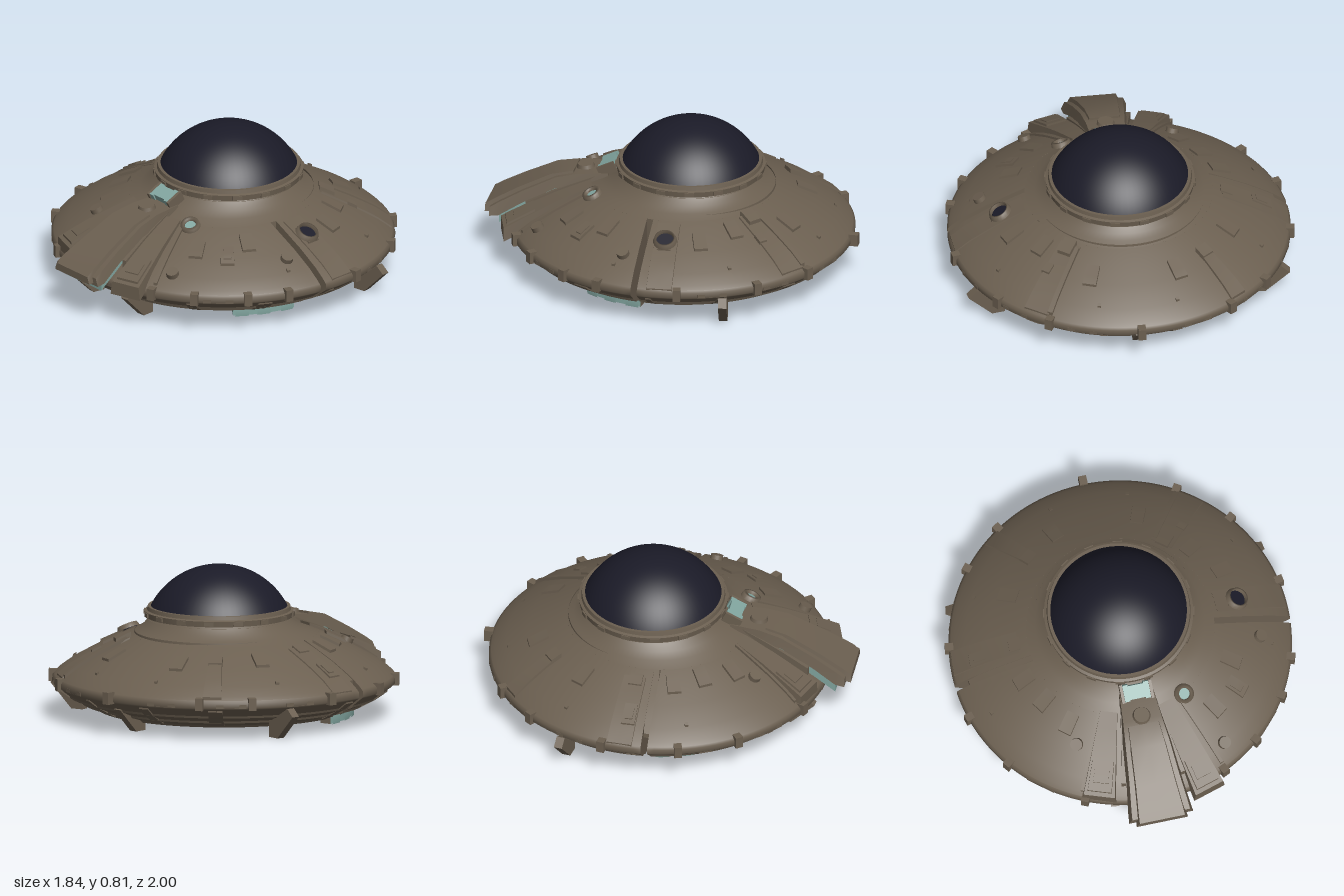
import * as THREE from 'three';

const mat = (name, color, side = THREE.FrontSide) => {
  const m = new THREE.MeshStandardMaterial({ color, side });
  m.name = name;
  return m;
};

// Profiles as [radius, height]: upper hull, rim, lower hull, and the raised panels beside the ramp
const UPPER = [[0.36, 0.54], [0.38, 0.52], [0.41, 0.49], [0.45, 0.465], [0.5, 0.442], [0.55, 0.42],
  [0.7, 0.35], [0.82, 0.283], [0.88, 0.24], [0.9, 0.222]];
const RIM = [[0.9, 0.222], [0.911, 0.21], [0.911, 0.182], [0.9, 0.172]];
const LOWER = [[0.9, 0.172], [0.84, 0.128], [0.835, 0.116], [0.77, 0.09], [0.765, 0.078], [0.69, 0.055], [0.68, 0.042], [0.5, 0.034]];
const PANEL = [[0.46, 0.467], [0.66, 0.39], [0.815, 0.318], [0.985, 0.235]];

const CENTRE = -0.05; // z of the hull axis
const DOME = -0.04;   // dome axis, measured from the hull axis

// Height of a profile at radius r
function heightAt(profile, r) {
  for (let i = 1; i < profile.length; i++) {
    const [a, b] = [profile[i - 1], profile[i]];
    const t = (r - a[0]) / (b[0] - a[0]);
    if (t >= 0 && t <= 1) return a[1] + t * (b[1] - a[1]);
  }
  return profile[profile.length - 1][1];
}

// Half of a round shell, ending at the straight line z = edge (front: dir 1, back: dir -1)
function halfShell(profile, edge, dir, n = 72) {
  const pos = [], idx = [];
  profile.forEach(([r, y], j) => {
    const e = Math.asin(edge / r);
    for (let i = 0; i <= n; i++) {
      const t = i / n;
      const a = dir > 0 ? e + t * (Math.PI - 2 * e) : e - t * (Math.PI + 2 * e);
      pos.push(r * Math.cos(a), y, r * Math.sin(a));
      if (j && i) {
        const p = j * (n + 1) + i, q = p - n - 1;
        if (dir > 0) idx.push(q - 1, q, p, q - 1, p, p - 1);
        else idx.push(q - 1, p, q, q - 1, p - 1, p);
      }
    }
  });
  const g = new THREE.BufferGeometry();
  g.setAttribute('position', new THREE.Float32BufferAttribute(pos, 3));
  g.setIndex(idx);
  g.computeVertexNormals();
  return g;
}

// Box lofted through stations of [z, halfWidth, top, bottom]; the top is narrowed by bevel
function loft(stations, bevel = 0.88) {
  const n = stations.length - 1;
  const g = new THREE.BoxGeometry(1, 1, 1, 2, 1, n), p = g.attributes.position;
  for (let i = 0; i < p.count; i++) {
    const [z, w, top, bottom] = stations[Math.round((p.getZ(i) + 0.5) * n)];
    const up = p.getY(i) > 0, x = p.getX(i) * 2;
    p.setXYZ(i, x * w * (up ? bevel : 1), up ? top : bottom, z);
  }
  g.computeVertexNormals();
  return g;
}

// Plate that follows a profile between radii r0 and r1
function plateGeometry(r0, r1, w0, w1, lift, profile, depth) {
  const stations = [];
  for (let i = 0; i <= 5; i++) {
    const t = i / 5, r = r0 + t * (r1 - r0), y = heightAt(profile, r);
    stations.push([r, (w0 + t * (w1 - w0)) / 2, y + lift, y - depth]);
  }
  return loft(stations, 0.9);
}

export function createModel() {
  const hull = mat('hull brown', 0x6b5f50, THREE.DoubleSide);
  const teal = mat('pale teal', 0x82a6a0, THREE.DoubleSide);
  const glass = mat('dome navy', 0x1b1b28);

  const model = new THREE.Group();
  const group = (name, parent, x, y, z) => {
    const g = new THREE.Group();
    g.name = name;
    g.position.set(x, y, z);
    parent.add(g);
    return g;
  };
  const ship = group('saucer', model, 0, 0, CENTRE);
  const core = group('core', ship, 0, 0, DOME);

  const add = (name, geometry, material, x = 0, y = 0, z = 0, parent = ship) => {
    const m = new THREE.Mesh(geometry, material);
    m.name = name;
    m.position.set(x, y, z);
    parent.add(m);
    return m;
  };
  const lathe = (pts, n = 96, start = 0, len = Math.PI * 2) =>
    new THREE.LatheGeometry(pts.map(([x, y]) => new THREE.Vector2(x, y)), n, start, len);
  const inCore = (name, geometry, material) => add(name, geometry, material, 0, 0, 0, core);
  const rad = THREE.MathUtils.degToRad;
  const spun = (name, geometry, material, deg) => {
    const m = add(name, geometry, material);
    m.rotation.y = rad(deg);
    return m;
  };
  const plate = (name, deg, r0, r1, w0, w1, lift, profile = UPPER, depth = 0.03) =>
    spun(name, plateGeometry(r0, r1, w0, w1, lift, profile, depth), hull, deg);

  // Dome and its collar
  const R = 0.41;
  add('dome', new THREE.SphereGeometry(R, 64, 24, 0, Math.PI * 2, 0, Math.acos(0.18 / R)), glass, 0, 0.4, 0, core);
  inCore('deck', lathe([[0, 0.525], [0.38, 0.525]], 64), hull);
  for (const band of [[[0.35, 0.535], [0.392, 0.537]], [[0.392, 0.537], [0.396, 0.567]],
    [[0.396, 0.567], [0.382, 0.572]], [[0.382, 0.572], [0.378, 0.592]], [[0.378, 0.592], [0.36, 0.592]]])
    inCore('domeCollar', lathe(band), hull);
  for (let i = 0; i < 16; i++) {
    const a = (i + 0.5) / 16 * Math.PI * 2;
    add('collarLug', new THREE.BoxGeometry(0.05, 0.022, 0.018), hull, 0.393 * Math.sin(a), 0.553, 0.393 * Math.cos(a), core).rotation.y = a;
  }

  // Neck, leaning from the hull axis to the dome axis
  const neck = lathe(UPPER.slice(0, 5)), np = neck.attributes.position;
  for (let i = 0; i < np.count; i++)
    np.setZ(i, np.getZ(i) + DOME * Math.min(1, (np.getY(i) - 0.442) / 0.078));
  add('neck', neck, hull);

  // Front and back hull halves, split by the side slots
  const upper = UPPER.slice(4);
  for (const [dir, edge] of [[1, 0.09], [-1, 0.055]]) {
    add('upperHull', halfShell(upper, edge, dir), hull);
    add('rim', halfShell(RIM, edge, dir), hull);
    for (let i = 1; i < LOWER.length; i++) add('lowerHull', halfShell([LOWER[i - 1], LOWER[i]], edge, dir), hull);
    // Walls closing each half at the slots
    const outline = [...upper, ...RIM, ...LOWER].map(([r, y]) => new THREE.Vector2(Math.sqrt(r * r - edge * edge), y));
    const wall = new THREE.ShapeGeometry(new THREE.Shape(outline));
    add('slotWall', wall, hull, 0, 0, edge);
    add('slotWall', wall, hull, 0, 0, edge).scale.x = -1;
  }
  plate('slotCover', -84, 0.48, 0.84, 0.07, 0.06, -0.004);

  // Open belly and inner chamber, with a teal band and a teal panel on its inside
  inCore('bellyRing', lathe([[0.56, 0.031], [0.44, 0.029]]), hull);
  inCore('chamberWall', lathe([[0.44, 0.029], [0.47, 0.3], [0.45, 0.46]]), hull);
  inCore('chamberBand', lathe([[0.464, 0.3], [0.455, 0.345]]), teal);
  inCore('chamberPanel', lathe([[0.436, 0.04], [0.464, 0.3]], 24, rad(0), rad(76)), teal);

  // Front ramp, with its teal underbody, lid, hinge and hatch
  const ramp = [[0.34, 0.1, 0.495, 0.43], [0.5, 0.115, 0.485, 0.425], [0.62, 0.13, 0.458, 0.4],
    [0.8, 0.15, 0.368, 0.305], [0.92, 0.168, 0.3, 0.23], [0.97, 0.174, 0.268, 0.225]];
  add('ramp', loft(ramp, 0.9), hull, 0, 0, 0, model);
  add('rampUnderbody', loft(ramp.slice(1, 5).map(([z, w, , b]) => [z, w * 0.9, b + 0.01, b - 0.05]), 1), teal, -0.008, 0, 0, model);
  const lid = ramp.slice(1).map(([z, w, t, b]) => [z + 0.03, w * 0.8, t + 0.006, b + 0.01]);
  add('rampLid', loft(lid), hull, 0, 0, 0, model);
  add('rampHatch', new THREE.CylinderGeometry(0.042, 0.052, 0.03, 16), hull, 0, 0.49, 0.48, model).rotation.x = 0.08;
  const hinge = group('rampHinge', model, 0, 0.522, 0.352);
  hinge.rotation.x = 0.45;
  add('hingeBlock', new THREE.BoxGeometry(0.09, 0.045, 0.075), teal, 0, 0, 0, hinge);
  for (const s of [-1, 1]) {
    add('hingeArm', new THREE.BoxGeometry(0.028, 0.055, 0.09), teal, s * 0.056, -0.005, 0, hinge);
    add('hingeCheek', new THREE.BoxGeometry(0.016, 0.057, 0.1), hull, s * 0.079, -0.006, 0, hinge);
  }

  // Raised panels and rails on both sides of the ramp
  for (const [s, deg, end] of [[1, 17.1, 0.965], [-1, -19.4, 0.905]]) {
    plate('sidePanel', deg, 0.49, end, 0.1, 0.185, 0.004, PANEL, 0.07);
    plate('sidePanelFrame', deg, end - 0.17, end - 0.02, 0.125, 0.14, 0.016, PANEL);
    plate('sidePanelInset', deg, end - 0.13, end - 0.06, 0.085, 0.09, 0.022, PANEL);
    plate('innerRail', s * 11, 0.47, 0.84, 0.02, 0.025, 0.014, PANEL);
    plate('outerRail', s * 25.5, 0.49, 0.88, 0.015, 0.02, 0.014);
  }

  // Plates on the hull, given by their centre in x and z
  const spots = [[-0.23, -0.67], [0.23, -0.67], [-0.54, -0.37], [0.6, -0.27], [0.46, -0.42], [-0.48, 0.26],
    [-0.56, 0.12], [0.54, 0.24], [0.4, 0.47], [-0.38, 0.41], [0.54, 0.38], [0.64, -0.09], [-0.76, -0.08], [-0.57, -0.08]];
  spots.forEach(([x, z], i) => {
    const c = z - CENTRE, r = Math.hypot(x, c), deg = THREE.MathUtils.radToDeg(Math.atan2(x, c));
    const half = i === 13 ? 0.03 : 0.052;
    plate('hullPlate', deg, r - half, r + half, 0.075, 0.08, 0.014);
    if (i === 10 || i === 12) plate('plateInset', deg, r - 0.03, r + 0.03, 0.045, 0.045, 0.02);
  });
  // Round caps and ports, tilted with the slope
  const tilted = (name, geometry, material, x, z, lift = 0) => {
    const c = z - CENTRE, r = Math.hypot(x, c);
    const m = add(name, geometry, material, x, heightAt(UPPER, r) + lift, c);
    m.quaternion.setFromUnitVectors(new THREE.Vector3(0, 1, 0), new THREE.Vector3(x / r * 0.45, 0.9, c / r * 0.45).normalize());
  };
  const disc = (r, h) => new THREE.CylinderGeometry(r * 0.9, r, h, 20);
  for (const [x, z] of [[-0.36, 0.52], [0.72, 0.12], [0.41, 0.65]]) tilted('hullCap', disc(0.036, 0.05), hull, x, z);
  tilted('portRim', lathe([[0.03, 0], [0.034, 0.022], [0.05, 0.02], [0.056, -0.01]], 20), hull, 0.25, 0.39);
  tilted('port', disc(0.033, 0.006), teal, 0.25, 0.39, 0.003);
  tilted('windowRim', lathe([[0.047, 0], [0.047, 0.026], [0.055, 0.026], [0.064, 0]], 20), hull, 0.64, -0.09, 0.014);
  tilted('roundWindow', disc(0.052, 0.006), glass, 0.64, -0.09, 0.016);

  // Long panels on the back and sides
  plate('backPanel', 143, 0.52, 0.89, 0.13, 0.16, 0.008);
  plate('backPanelRail', 148, 0.54, 0.885, 0.025, 0.03, 0.018);
  plate('backPanelBlock', 142.5, 0.51, 0.59, 0.08, 0.08, 0.028);
  plate('backPanelBlock', 139, 0.66, 0.71, 0.05, 0.05, 0.018);
  plate('backPanel', -142.5, 0.62, 0.895, 0.07, 0.11, 0.014);
  plate('backPanelBlock', -142.5, 0.61, 0.67, 0.08, 0.08, 0.024);
  plate('sideStrip', -94, 0.55, 0.9, 0.13, 0.15, 0.006);
  plate('sideStrip', 94, 0.52, 0.9, 0.13, 0.15, 0.006);
  for (const deg of [165, -165, 75, -70, 120, -118]) plate('seamStud', deg, 0.8, 0.815, 0.02, 0.02, 0.012);

  // Clamps and bars around the rim
  const onRim = (name, w, h, d, r, y, deg) =>
    add(name, new THREE.BoxGeometry(w, h, d), hull, r * Math.sin(rad(deg)), y, r * Math.cos(rad(deg))).rotation.y = rad(deg);
  for (const deg of [148.6, 127.7, 100, 58, 40, 25, -24, -53, -74, -100, -129, -146.7, 72])
    onRim('rimClamp', 0.042, 0.065, 0.045, 0.909, 0.203, deg);
  onRim('rimClamp', 0.042, 0.065, 0.05, 0.925, 0.203, 180);
  for (const deg of [160, 135, 112, -160, -136, -112, 48, -40, 5, -5]) onRim('rimBar', 0.16, 0.02, 0.02, 0.9, 0.19, deg);

  // Low ribs under the hull
  const belly = LOWER.slice().reverse();
  for (let i = 0; i < 14; i++) {
    const ribs = [0.72, 0.77, 0.84, 0.89].map((r) => {
      const y = heightAt(belly, r);
      return [r, 0.015 + 0.012 * (i % 3), y + 0.02, y - 0.008];
    });
    spun('bellyRib', loft(ribs, 1), hull, (i + 0.5) * 360 / 14);
  }

  // Landing fins: slanted blades standing on the ground
  const blade = new THREE.Shape([[-0.035, 0], [0.035, 0], [0.165, 0.13], [0.12, 0.17], [-0.035, 0.08]].map(([x, y]) => new THREE.Vector2(x, y)));
  const fin = new THREE.ExtrudeGeometry(blade, { depth: 0.045, bevelEnabled: false }).translate(0, 0, -0.0225).rotateY(-Math.PI / 2);
  for (const [x, z, deg] of [[0.2, 0.66, 6], [-0.2, 0.66, -6], [0.7, -0.42, 100], [-0.7, -0.42, -100], [0, -0.74, 180]])
    add('landingFin', fin, hull, x, 0, z, model).rotation.y = rad(deg);

  // Curved skids under both sides: brown bottom with teal outer face, front and ridges
  for (const s of [-1, 1]) {
    const arc = (name, from, to, pts, material) =>
      add(name, lathe(pts, 12, rad(s > 0 ? from : -to), rad(to - from)), material);
    arc('skidBottom', 54, 83, [[0.62, 0.05], [0.62, 0.012], [0.62, 0.012], [0.685, 0.012]], hull);
    arc('skidFace', 54, 83, [[0.685, 0.012], [0.685, 0.075]], teal);
    for (const k of [55, 65, 76]) arc('skidRidge', k, k + 6, [[0.685, 0.008], [0.693, 0.01], [0.693, 0.068], [0.685, 0.07]], teal);
    for (const [deg, material] of [[54, teal], [83, hull]])
      spun('skidEnd', new THREE.PlaneGeometry(0.065, 0.06).rotateY(Math.PI / 2).translate(0, 0.043, 0.6525), material, s * deg);
  }
  return model;
}
